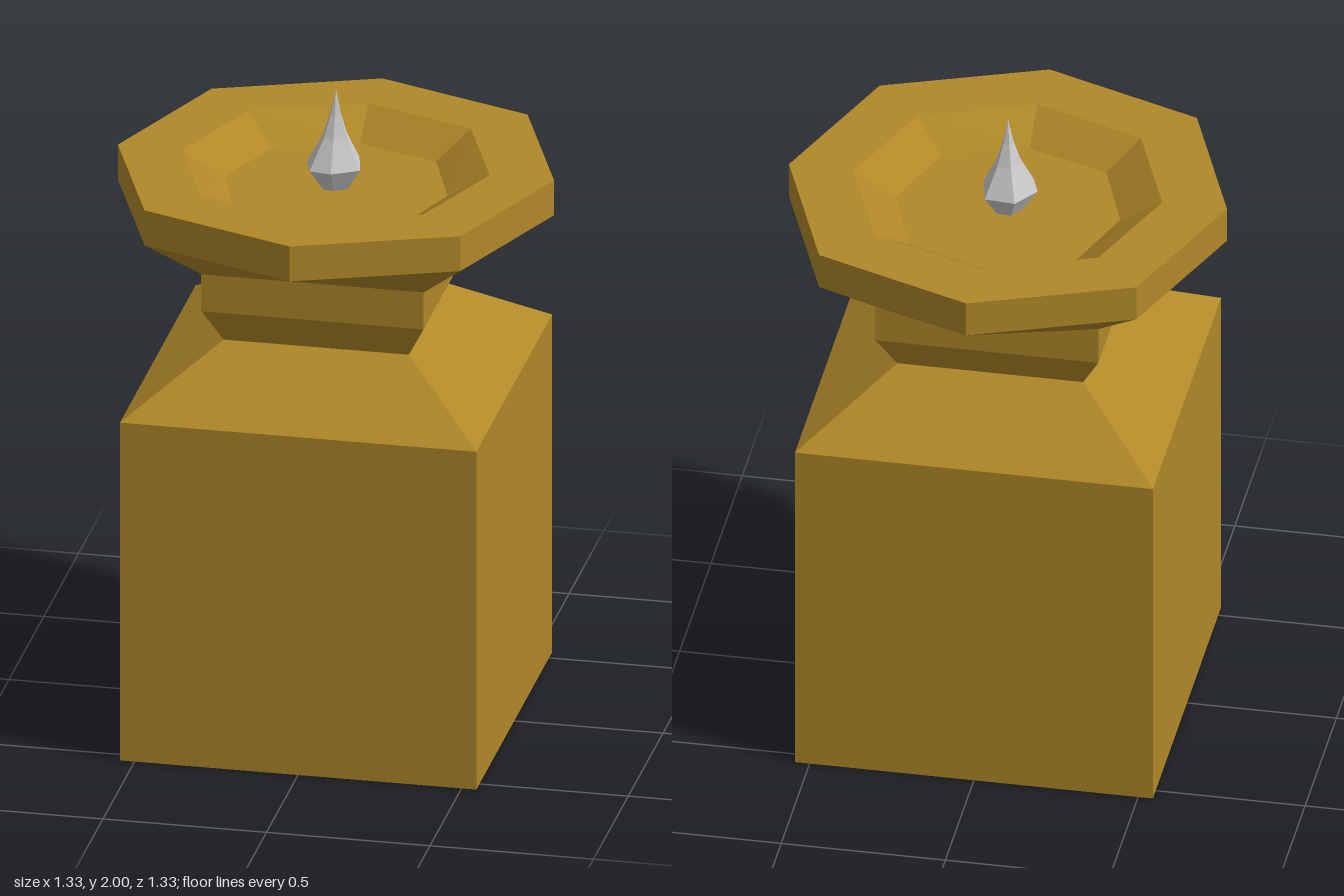
import * as THREE from 'three';

// Skin a stack of closed rings (each counter-clockwise seen from above), with optional end caps
function loft(rings, capStart, capEnd) {
  const pos = [];
  const tri = (a, b, c) => pos.push(...a, ...b, ...c);
  const n = rings[0].length;
  for (let k = 0; k < rings.length - 1; k++) {
    const a = rings[k], b = rings[k + 1];
    for (let i = 0; i < n; i++) {
      const j = (i + 1) % n;
      if (i % 2 === 0) {
        tri(a[i], a[j], b[i]);
        tri(a[j], b[j], b[i]);
      } else {
        tri(a[i], a[j], b[j]);
        tri(a[i], b[j], b[i]);
      }
    }
  }
  const first = rings[0], last = rings[rings.length - 1];
  for (let i = 1; i < n - 1; i++) {
    if (capStart) tri(first[0], first[i + 1], first[i]);
    if (capEnd) tri(last[0], last[i], last[i + 1]);
  }
  const g = new THREE.BufferGeometry();
  g.setAttribute('position', new THREE.Float32BufferAttribute(pos, 3));
  g.computeVertexNormals();
  return g;
}

// Eight-point ring: m is the reach along the axes, c the coordinate of the diagonal points
const ring = ([y, m, c = m]) => [
  [0, y, m], [c, y, c], [m, y, 0], [c, y, -c],
  [0, y, -m], [-c, y, -c], [-m, y, 0], [-c, y, c],
];

export function createModel() {
  const group = new THREE.Group();
  const brass = new THREE.MeshStandardMaterial({ color: 0xb08828, flatShading: true });
  const grey = new THREE.MeshStandardMaterial({ color: 0xcccccc, flatShading: true });
  const add = (name, geometry, material) => {
    const mesh = new THREE.Mesh(geometry, material);
    mesh.name = name;
    group.add(mesh);
  };

  // Square pedestal with sloped shoulder
  add('pedestal', loft([[0, 0.545], [1.095, 0.545], [1.28, 0.283]].map(ring), true, false), brass);

  // Square neck flaring out to a collar
  add('neck', loft([[1.28, 0.283], [1.39, 0.34], [1.51, 0.34]].map(ring), false, false), brass);

  // Octagonal dish: square underside, vertical rim, sunken bowl
  add('dish', loft([
    [1.51, 0.34], [1.65, 0.667, 0.483], [1.763, 0.667, 0.483],
    [1.763, 0.47, 0.34], [1.685, 0.342, 0.252],
  ].map(ring), false, true), brass);

  // Irregular six-sided flame drawn up to a point
  const outline = [[0, 0.076], [0.08, 0.03], [0.057, -0.072], [-0.035, -0.08], [-0.09, 0], [-0.067, 0.066]];
  const flame = [[1.675, 0.4], [1.755, 1], [1.85, 0.46], [1.92, 0.2], [2, 0.005]];
  add('flame', loft(flame.map(([y, s]) => outline.map(([x, z]) => [x * s, y, z * s])), true, true), grey);

  return group;
}
